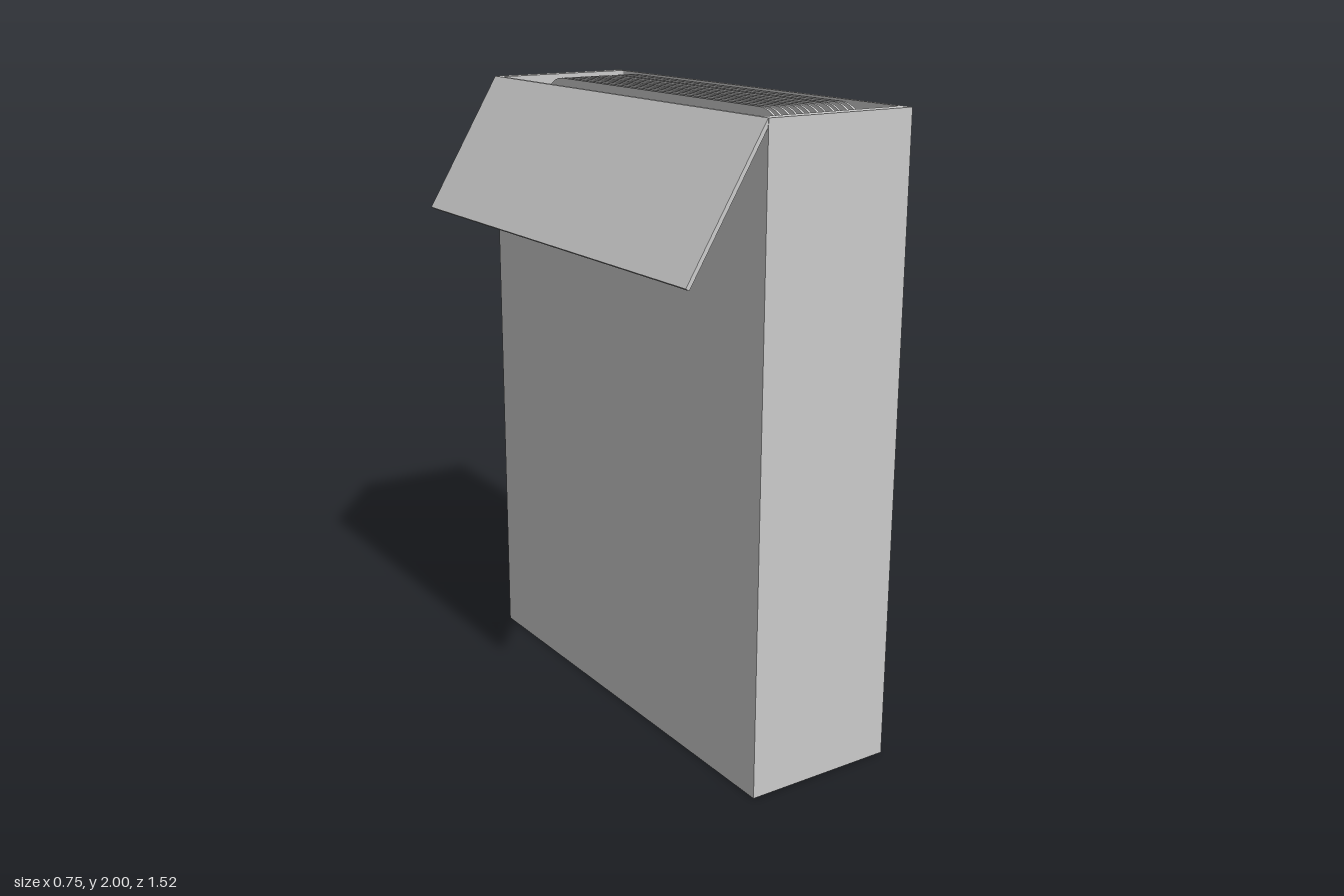
import * as THREE from 'three';

const TOP = 1.997, HALF_Z = 0.76, X0 = -0.122, X1 = 0.376;

// Rounded rectangle path, used for the wall opening and the plates
function roundedRect(path, x0, y0, x1, y1, r) {
  path.moveTo(x0 + r, y0);
  path.lineTo(x1 - r, y0);
  path.absarc(x1 - r, y0 + r, r, -Math.PI / 2, 0, false);
  path.lineTo(x1, y1 - r);
  path.absarc(x1 - r, y1 - r, r, 0, Math.PI / 2, false);
  path.lineTo(x0 + r, y1);
  path.absarc(x0 + r, y1 - r, r, Math.PI / 2, Math.PI, false);
  path.lineTo(x0, y0 + r);
  path.absarc(x0 + r, y0 + r, r, Math.PI, Math.PI * 1.5, false);
  return path;
}

export function createModel() {
  const model = new THREE.Group();
  const grey = new THREE.MeshStandardMaterial({ color: 0xcccccc });
  grey.name = 'grey';

  const add = (name, geometry, parent = model) => {
    const mesh = new THREE.Mesh(geometry, grey);
    mesh.name = name;
    parent.add(mesh);
    return mesh;
  };

  // Four walls as one upright tube, thick at the ends and thin at the sides
  const outline = new THREE.Shape([
    new THREE.Vector2(X0, -HALF_Z), new THREE.Vector2(X1, -HALF_Z),
    new THREE.Vector2(X1, HALF_Z), new THREE.Vector2(X0, HALF_Z),
  ]);
  outline.holes.push(roundedRect(new THREE.Path(), -0.109, -0.72, 0.364, 0.72, 0.006));
  const walls = new THREE.ExtrudeGeometry(outline, { depth: TOP, bevelEnabled: false, curveSegments: 3 });
  walls.rotateX(-Math.PI / 2);
  add('boxWalls', walls);

  // Floor of the box
  const floor = new THREE.BoxGeometry(X1 - X0 - 0.002, 0.03, 2 * HALF_Z - 0.002);
  floor.translate((X0 + X1) / 2, 0.0155, 0);
  add('boxFloor', floor);

  // Open lid hinged along the left rim, folded down and outwards
  const lid = new THREE.Shape([
    new THREE.Vector2(X0, TOP), new THREE.Vector2(-0.378, 1.575),
    new THREE.Vector2(-0.367, 1.568), new THREE.Vector2(X0, 1.972),
  ]);
  const lidGeometry = new THREE.ExtrudeGeometry(lid, { depth: 2 * HALF_Z - 0.004, bevelEnabled: false });
  lidGeometry.translate(0, 0, -HALF_Z + 0.002);
  add('lid', lidGeometry);

  // Row of thin plates with rounded corners, standing on the floor
  const plates = new THREE.Group();
  plates.name = 'plates';
  model.add(plates);
  const thickness = 0.008;
  const face = roundedRect(new THREE.Shape(), -0.66, 0.03, 0.66, 2, 0.12);
  const plateGeometry = new THREE.ExtrudeGeometry(face, { depth: thickness, bevelEnabled: false, curveSegments: 10 });
  plateGeometry.translate(0, 0, -thickness / 2);
  plateGeometry.rotateY(Math.PI / 2);
  [0.016, 0.038, 0.067, 0.092, 0.117, 0.14, 0.168, 0.194, 0.225, 0.246, 0.276, 0.301].forEach((x, i) => {
    add('plate' + (i + 1), plateGeometry, plates).position.x = x;
  });

  return model;
}
